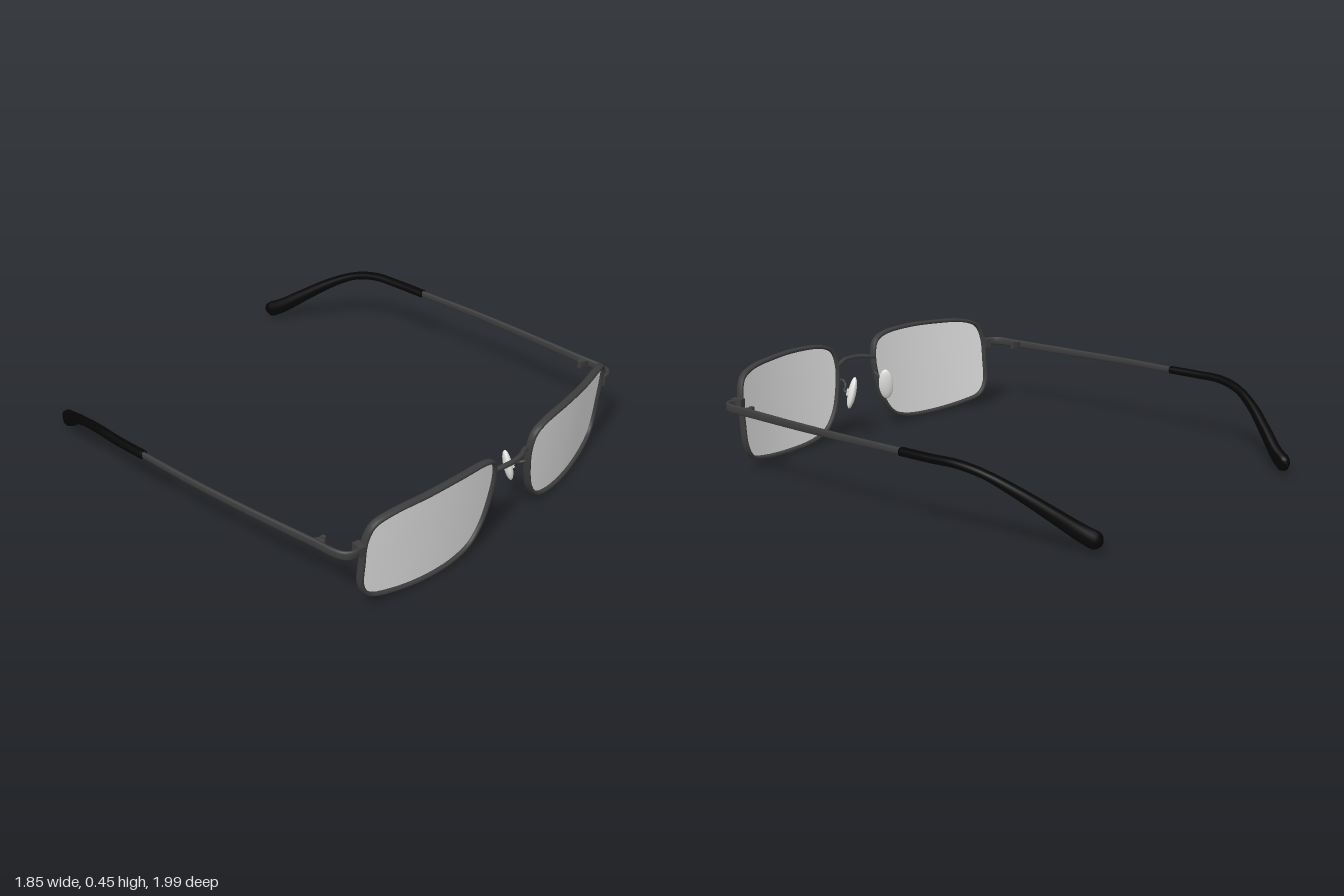
import * as THREE from 'three';

const mat = (name, color, side = THREE.FrontSide) => {
  const m = new THREE.MeshStandardMaterial({ color, side });
  m.name = name;
  return m;
};
const V = (x, y, z) => new THREE.Vector3(x, y, z);
const curve = (pts, closed = false) => new THREE.CatmullRomCurve3(pts.map(p => V(...p)), closed);

// Forward-tilted, wrapped surface that the lenses and rims lie on
const lensZ = (x, y) => 0.98 - 0.315 * (x - 0.22) ** 2 - 0.1 * (0.45 - y);

// Sweeps a rounded-box section along a path; size(t) gives half width and half height
function sweep(path, steps, size, up, closed = false, sides = 12) {
  const pos = [], index = [], rings = [];
  for (let i = 0; i < steps + (closed ? 0 : 1); i++) rings.push([i / steps, 1]);
  if (!closed) { rings.unshift([0, 0]); rings.push([1, 0]); }
  for (const [t, k] of rings) {
    const p = path.getPointAt(t), T = path.getTangentAt(t);
    const side = T.clone().cross(up).normalize();
    const top = side.clone().cross(T).normalize();
    const [w, h] = size(t);
    for (let j = 0; j < sides; j++) {
      const a = j / sides * Math.PI * 2, c = Math.cos(a), s = Math.sin(a);
      const q = p.clone()
        .addScaledVector(side, k * w * Math.sign(c) * Math.abs(c) ** 0.7)
        .addScaledVector(top, k * h * Math.sign(s) * Math.abs(s) ** 0.7);
      pos.push(q.x, q.y, q.z);
    }
  }
  const n = rings.length;
  for (let i = 0; i < (closed ? n : n - 1); i++) for (let j = 0; j < sides; j++) {
    const i2 = (i + 1) % n, j2 = (j + 1) % sides;
    const a = i * sides + j, b = i * sides + j2, c = i2 * sides + j2, d = i2 * sides + j;
    index.push(a, d, b, b, d, c);
  }
  return finish(pos, index);
}

function finish(pos, index) {
  const g = new THREE.BufferGeometry();
  g.setAttribute('position', new THREE.Float32BufferAttribute(pos, 3));
  g.setIndex(index);
  g.computeVertexNormals();
  return g;
}

// Fills the outline with concentric rings laid on the lens surface
function lensGeometry(outline, around = 96, rings = 10) {
  const cx = 0.455, cy = 0.23, pos = [cx, cy, lensZ(cx, cy)], index = [];
  for (let r = 1; r <= rings; r++) for (let j = 0; j < around; j++) {
    const p = outline.getPointAt(j / around), k = r / rings;
    const x = cx + (p.x - cx) * k, y = cy + (p.y - cy) * k;
    pos.push(x, y, lensZ(x, y));
  }
  for (let j = 0; j < around; j++) {
    const j2 = (j + 1) % around;
    index.push(0, 1 + j2, 1 + j);
    for (let r = 0; r < rings - 1; r++) {
      const a = 1 + r * around + j, b = 1 + r * around + j2;
      index.push(a, b, a + around, b, b + around, a + around);
    }
  }
  return finish(pos, index);
}

function mirrored(geo) {
  const g = geo.clone().scale(-1, 1, 1), ix = g.index.array;
  for (let i = 0; i < ix.length; i += 3) [ix[i + 1], ix[i + 2]] = [ix[i + 2], ix[i + 1]];
  return g;
}

export function createModel() {
  const group = new THREE.Group();
  group.name = 'eyeglasses';
  const metal = mat('dark metal', 0x3c3c3c);
  const black = mat('black tip', 0x050505);
  const glass = mat('grey lens', 0xe0e0e0, THREE.DoubleSide);
  const clear = mat('pale pad', 0xf0f0ee);
  const UP = V(0, 1, 0), FRONT = V(0, 0, 1);

  const add = (name, geo, material) => {
    const m = new THREE.Mesh(geo, material);
    m.name = name;
    group.add(m);
  };
  const pair = (name, geo, material) => {
    add('left' + name, geo, material);
    add('right' + name, mirrored(geo), material);
  };

  // Lens outline, clockwise from the inner top corner
  const outline = curve([
    [0.142, 0.406], [0.2, 0.434], [0.35, 0.447], [0.52, 0.444], [0.69, 0.43], [0.76, 0.402],
    [0.787, 0.34], [0.79, 0.22], [0.784, 0.115], [0.748, 0.058], [0.65, 0.03], [0.46, 0.013],
    [0.31, 0.022], [0.225, 0.052], [0.165, 0.125], [0.13, 0.24], [0.121, 0.34],
  ].map(([x, y]) => [x, y, lensZ(x, y)]), true);
  pair('Lens', lensGeometry(outline), glass);
  pair('Rim', sweep(outline, 120, () => [0.0085, 0.0165], FRONT, true), metal);

  // Bridge
  add('bridge', sweep(curve([
    [-0.122, 0.335, 0.957], [-0.095, 0.342, 0.962], [-0.05, 0.349, 0.98], [0, 0.35, 0.986],
    [0.05, 0.349, 0.98], [0.095, 0.342, 0.962], [0.122, 0.335, 0.957],
  ]), 36, () => [0.011, 0.009], UP), metal);

  // End piece block on the rim, and hinge behind the corner
  pair('EndPiece', new THREE.BoxGeometry(0.03, 0.042, 0.05).rotateY(0.25).translate(0.808, 0.306, 0.858), metal);
  pair('Hinge', new THREE.CylinderGeometry(0.034, 0.034, 0.026, 3).rotateY(-Math.PI / 2)
    .translate(0.872, 0.305, 0.72), metal);
  pair('HingePin', new THREE.CylinderGeometry(0.011, 0.011, 0.034, 12).translate(0.854, 0.305, 0.72), metal);

  // Flat temple arm, wrapping round the corner and running back
  pair('Temple', sweep(curve([
    [0.8, 0.306, 0.858], [0.84, 0.306, 0.868], [0.872, 0.306, 0.85], [0.886, 0.306, 0.815],
    [0.89, 0.306, 0.7], [0.904, 0.306, 0.4], [0.911, 0.307, 0.1], [0.905, 0.307, -0.215],
  ]), 70, t => [0.009, 0.02 - 0.006 * t], UP), metal);

  // Ear tip, bending down and inward, swelling toward a rounded end
  pair('EarTip', sweep(curve([
    [0.905, 0.307, -0.2], [0.903, 0.307, -0.35], [0.893, 0.306, -0.48], [0.868, 0.282, -0.59],
    [0.82, 0.226, -0.7], [0.75, 0.146, -0.815], [0.69, 0.077, -0.91], [0.656, 0.038, -0.985],
  ]), 80, t => {
    const k = Math.max(0, (t - 0.45) / 0.55);
    const end = Math.sqrt(Math.max(0.05, 1 - Math.max(0, (t - 0.96) / 0.04) ** 2));
    return [(0.019 + 0.006 * k) * end, (0.017 + 0.021 * k) * end];
  }, UP), black);

  // Nose pads with their mounts and wire arms
  const place = g => g.rotateZ(0.22).rotateY(-0.65).translate(0.112, 0.218, 0.875);
  pair('NosePad', place(new THREE.SphereGeometry(1, 24, 16).scale(0.018, 0.075, 0.034)), clear);
  pair('PadMount', place(new THREE.BoxGeometry(0.014, 0.03, 0.02).translate(0.018, 0, 0)), clear);
  pair('PadArm', sweep(curve([
    [0.126, 0.27, 0.957], [0.105, 0.265, 0.938], [0.113, 0.245, 0.915], [0.132, 0.225, 0.903],
    [0.126, 0.218, 0.888],
  ]), 24, () => [0.006, 0.006], V(0.1, 1, 0.2).normalize(), false, 8), metal);

  return group;
}
